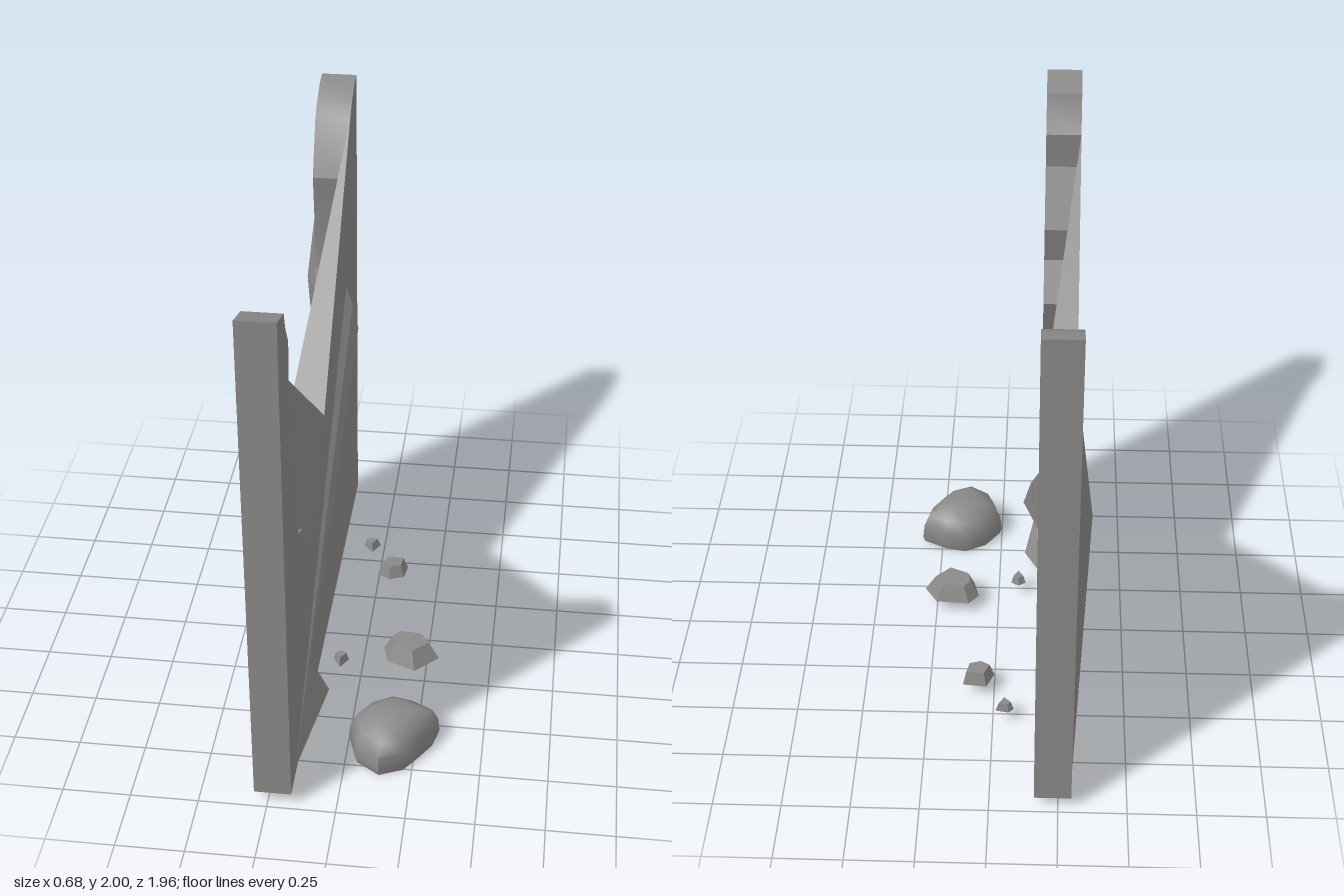
import * as THREE from 'three';
import { mergeVertices, toCreasedNormals } from 'three/addons/utils/BufferGeometryUtils.js';
import { ConvexGeometry } from 'three/addons/geometries/ConvexGeometry.js';

const XP = -0.163, XM = -0.298; // the two faces of the slab

// Collects triangles, each turned to face a given direction
class Surface {
  constructor() { this.data = []; }
  tri(a, b, c, out) {
    const [A, B, C] = [a, b, c].map((p) => new THREE.Vector3(...p));
    const n = B.clone().sub(A).cross(C.clone().sub(A));
    const order = n.dot(new THREE.Vector3(...out)) < 0 ? [A, C, B] : [A, B, C];
    order.forEach((p) => this.data.push(p.x, p.y, p.z));
  }
  quad(a, b, c, d, out) {
    this.tri(a, b, c, out);
    this.tri(a, c, d, out);
  }
  // Fills a polygon given in (z, y), with x found for each corner
  fill(points, xOf, out) {
    const contour = points.map(([z, y]) => new THREE.Vector2(z, y));
    const at = (i) => [xOf(points[i], i), points[i][1], points[i][0]];
    THREE.ShapeUtils.triangulateShape(contour, [])
      .forEach(([i, j, k]) => this.tri(at(i), at(j), at(k), out));
  }
  geometry() {
    const g = new THREE.BufferGeometry();
    g.setAttribute('position', new THREE.Float32BufferAttribute(this.data, 3));
    return g;
  }
}

// Broken slab: each face has a crack on one side and a straight break on the other
function slabGeometry() {
  const s = new Surface();
  const V = [0.02, 1.06];
  const frontCrack = [[0.78, 1.82], [0.79, 1.68], [0.68, 1.46], [0.71, 1.31], [0.62, 1.16],
    [0.68, 0.99], [0.59, 0.95], [0.49, 0.81], [0.55, 0.62], [0.56, 0.51]];
  const backCrack = [[-0.78, 1.9], [-0.69, 1.69], [-0.72, 1.45], [-0.71, 1.2], [-0.66, 1.08],
    [-0.67, 0.9], [-0.61, 0.75], [-0.63, 0.6], [-0.59, 0.43]];
  const front = [[0.98, 0.055], [0.98, 2], [0.85, 1.96], [0.83, 1.9]];
  const back = [[-0.84, 1.95], [-0.92, 1.99], [-0.98, 2], [-0.98, 0.055]];
  const T1 = frontCrack[0], T2 = backCrack[0];

  // Large faces
  s.fill([...front, ...frontCrack, V, T2, ...back], () => XP, [1, 0, 0]);
  s.fill([...front, T1, V, ...[...backCrack].reverse(), ...back], () => XM, [-1, 0, 0]);

  // Outer rim
  const rim = [T2, ...back, ...front, T1];
  for (let i = 0; i < rim.length - 1; i++) {
    const [z0, y0] = rim[i], [z1, y1] = rim[i + 1];
    s.quad([XP, y0, z0], [XP, y1, z1], [XM, y1, z1], [XM, y0, z0], [0, z0 - z1, y1 - y0]);
  }

  // Sloping break between a crack and the opposite face
  const breakSurface = (crack, near, far) => {
    const T = crack[0], B = crack[crack.length - 1];
    const n = [V[1] - B[1], B[0] - V[0]];
    const dist = (p) => (p[0] - B[0]) * n[0] + (p[1] - B[1]) * n[1];
    const inner = (p) => near + (far - near) * Math.min(1, Math.max(0, dist(p) / dist(T)));
    const side = Math.sign(near - far);
    s.fill([...crack, V], (p) => (p === V ? near : inner(p)), [side, 0, 0]);
    s.tri([far, T[1], T[0]], [near, V[1], V[0]], [far, V[1], V[0]], [0, 1, 0]);
    for (let i = 0; i < crack.length - 1; i++) {
      const p = crack[i], q = crack[i + 1];
      s.quad([near, p[1], p[0]], [near, q[1], q[0]], [inner(q), q[1], q[0]],
        [inner(p), p[1], p[0]], [0, side * (p[0] - q[0]), side * (q[1] - p[1])]);
    }
  };
  breakSurface(frontCrack, XP, XM);
  breakSurface(backCrack, XM, XP);
  return toCreasedNormals(s.geometry(), 0.5);
}

// Raised flake: corners on or above a face, rooted inside the slab
function flakeGeometry(points) {
  const root = points.map(([, y, z]) => [-0.23, y, z]);
  return new ConvexGeometry([...points, ...root].map((p) => new THREE.Vector3(...p)));
}

// Stone from one (x, z) outline repeated at [height, scale] levels
function stoneGeometry(outline, levels, smooth) {
  const n = outline.length;
  const cx = outline.reduce((t, p) => t + p[0], 0) / n;
  const cz = outline.reduce((t, p) => t + p[1], 0) / n;
  const ring = ([y, k]) => outline.map(([x, z]) => [cx + (x - cx) * k, y, cz + (z - cz) * k]);
  const rings = levels.map(ring);
  const s = new Surface();
  for (let i = 0; i < n; i++) {
    const j = (i + 1) % n;
    for (let r = 0; r < rings.length - 1; r++) {
      const a = rings[r][i], b = rings[r][j];
      s.quad(a, b, rings[r + 1][j], rings[r + 1][i],
        [(a[0] + b[0]) / 2 - cx, 0.02, (a[2] + b[2]) / 2 - cz]);
    }
    const top = rings[rings.length - 1];
    s.tri([cx, levels[0][0], cz], rings[0][i], rings[0][j], [0, -1, 0]);
    s.tri([cx, levels[levels.length - 1][0], cz], top[i], top[j], [0, 1, 0]);
  }
  const g = s.geometry();
  if (!smooth) return toCreasedNormals(g, 0.1);
  const merged = mergeVertices(g, 1e-4);
  return toCreasedNormals(merged, 1.0);
}

export function createModel() {
  const model = new THREE.Group();
  model.name = 'brokenWall';
  const stone = new THREE.MeshStandardMaterial({ color: 0x8c8a88, side: THREE.DoubleSide });
  stone.name = 'grey stone';
  const add = (name, geometry) => {
    const mesh = new THREE.Mesh(geometry, stone);
    mesh.name = name;
    model.add(mesh);
  };

  add('wallSlab', slabGeometry());

  // Shallow flakes lifting from the two faces
  add('longFlake', flakeGeometry([[XP, 0.07, 0.88], [XP, 1.25, -0.63], [-0.135, 1.19, -0.61],
    [-0.11, 1.09, -0.59], [XP, 0.98, -0.6]]));
  add('footFlake', flakeGeometry([[XP, 0.06, 0.82], [-0.12, 0.06, 0.52], [-0.103, 0.065, 0.41],
    [XP, 0.06, 0.3], [-0.15, 0.23, 0.48], [XP, 0.26, 0.51]]));
  add('rearFlake', flakeGeometry([[XM, 0.1, -0.92], [XM, 1.6, -0.84], [-0.31, 1.3, -0.81],
    [-0.343, 1.2, -0.8], [XM, 1.2, -0.68]]));
  add('lowFlake', flakeGeometry([[XM, 0.08, -0.75], [-0.33, 0.48, 0.53], [-0.325, 0.35, 0.5],
    [XM, 0.56, 0.55], [XM, 0.3, 0.46]]));

  // Boulder and fallen chips
  add('boulder', stoneGeometry([[0, 0.62], [0.06, 0.53], [0.15, 0.48], [0.24, 0.5], [0.335, 0.55],
    [0.32, 0.61], [0.27, 0.69], [0.22, 0.76], [0.13, 0.8], [0.04, 0.74]],
  [[0.005, 0.95], [0.03, 1], [0.09, 0.96], [0.14, 0.82], [0.17, 0.5]], true));
  const chips = [
    [[[0.08, 0.13], [0.12, 0.08], [0.25, 0.09], [0.3, 0.17], [0.21, 0.26], [0.1, 0.21]], 0.13, 0.65],
    [[[0, -0.34], [0.03, -0.41], [0.12, -0.4], [0.11, -0.33], [0.05, -0.31]], 0.115, 0.7],
    [[[-0.08, -0.53], [-0.06, -0.55], [-0.01, -0.54], [-0.04, -0.49]], 0.095, 0.65],
    [[[-0.11, 0.22], [-0.08, 0.2], [-0.05, 0.22], [-0.08, 0.27]], 0.095, 0.65],
  ];
  chips.forEach(([outline, top, k], i) =>
    add(`chip${i + 1}`, stoneGeometry(outline, [[0.06, 1], [top, k]], false)));
  return model;
}
